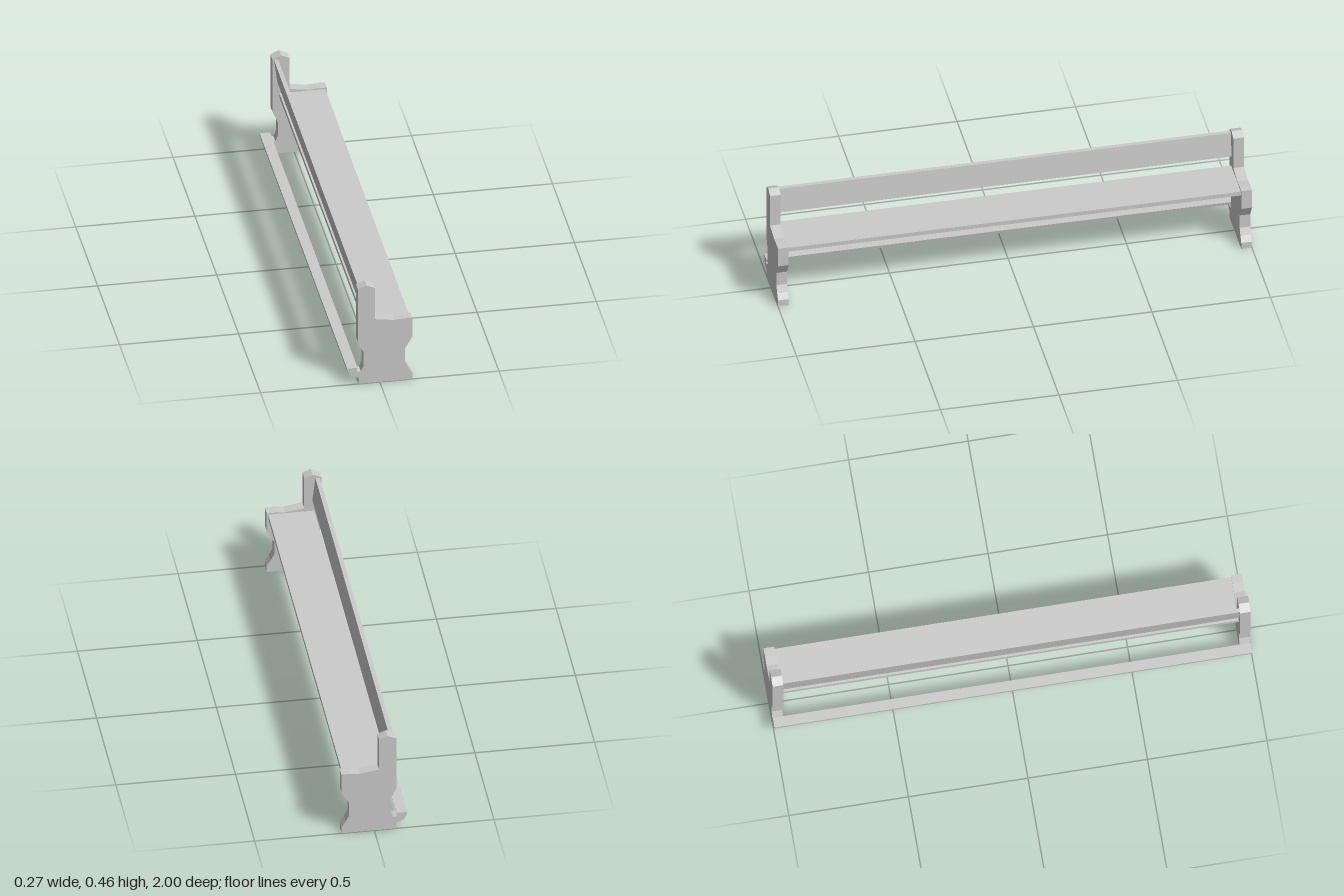
import * as THREE from 'three';

const material = new THREE.MeshStandardMaterial({ color: 0xcccccc, flatShading: true });

// Extrudes an x/y outline along z, from z0 to z1
function slab(name, points, z0, z1) {
  const shape = new THREE.Shape(points.map(([x, y]) => new THREE.Vector2(x, y)));
  const geometry = new THREE.ExtrudeGeometry(shape, { depth: z1 - z0, bevelEnabled: false });
  geometry.translate(0, 0, z0);
  const mesh = new THREE.Mesh(geometry, material);
  mesh.name = name;
  return mesh;
}

// Waisted end panel with a pointed back post and a dipped arm edge
const panelOutline = [
  [-0.09, 0], [0.137, 0], [0.137, 0.03], [0.12, 0.055], [0.105, 0.085], [0.105, 0.147],
  [0.137, 0.202], [0.137, 0.291], [0.1, 0.291], [0.06, 0.288], [-0.02, 0.3],
  [-0.02, 0.448], [-0.055, 0.463], [-0.092, 0.448], [-0.092, 0.2], [-0.068, 0.147],
  [-0.068, 0.085], [-0.08, 0.055], [-0.09, 0.03],
];

// Curved bracket carrying the foot rail
const bracketOutline = [
  [-0.075, 0.03], [-0.075, 0.057], [-0.095, 0.06], [-0.1, 0.063], [-0.133, 0.063],
  [-0.127, 0.047], [-0.117, 0.038], [-0.1, 0.032],
];

const backrestOutline = [[-0.07, 0.335], [-0.054, 0.335], [-0.067, 0.445], [-0.085, 0.445]];
const seatOutline = [[-0.062, 0.265], [0.13, 0.265], [0.13, 0.284], [-0.062, 0.284]];
const railOutline = [[-0.136, 0.063], [-0.096, 0.063], [-0.093, 0.077], [-0.137, 0.077]];

export function createModel() {
  const bench = new THREE.Group();
  bench.name = 'bench';

  // Matching ends
  for (const [side, z0, z1] of [['front', 0.955, 1], ['back', -1, -0.955]]) {
    const end = new THREE.Group();
    end.name = `${side}End`;
    end.add(slab('endPanel', panelOutline, z0, z1), slab('railBracket', bracketOutline, z0, z1));
    bench.add(end);
  }

  // Long boards between the ends
  bench.add(
    slab('backrest', backrestOutline, -0.96, 0.96),
    slab('seat', seatOutline, -0.96, 0.96),
    slab('footRail', railOutline, -1, 1),
  );
  return bench;
}
